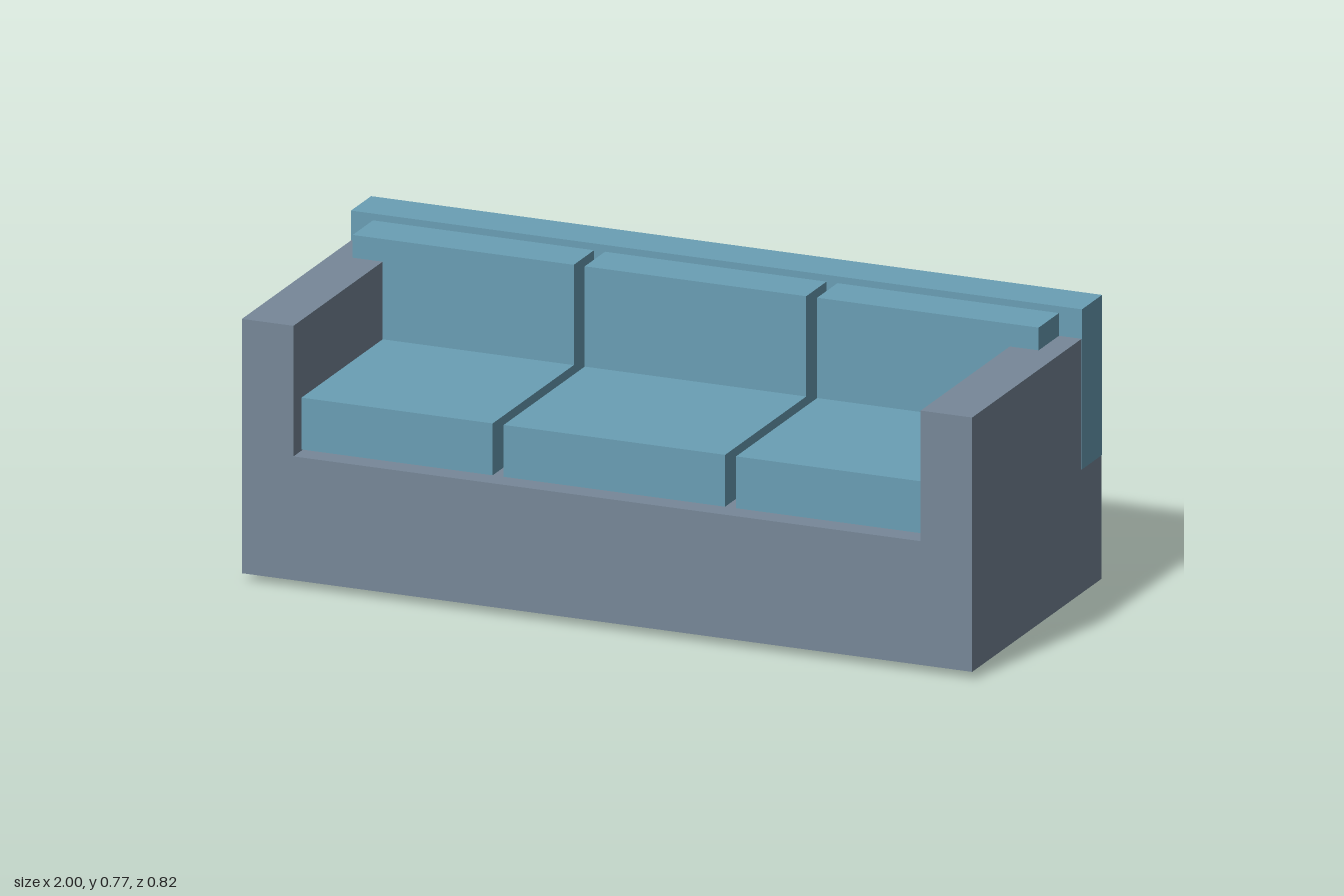
import * as THREE from 'three';

const BODY = new THREE.MeshStandardMaterial({ color: 0x778899 });
const CUSHION = new THREE.MeshStandardMaterial({ color: 0x6a9fb5 });
const LEG = new THREE.MeshStandardMaterial({ color: 0x666670 });

// Box given by its limits on each axis
function box(name, material, [x0, x1], [y0, y1], [z0, z1]) {
  const mesh = new THREE.Mesh(new THREE.BoxGeometry(x1 - x0, y1 - y0, z1 - z0), material);
  mesh.position.set((x0 + x1) / 2, (y0 + y1) / 2, (z0 + z1) / 2);
  mesh.name = name;
  return mesh;
}

export function createModel() {
  const sofa = new THREE.Group();
  sofa.name = 'sofa';

  // Base and both arms: one U-shaped profile, kept just inside the backrest
  const w = 0.999, inner = 0.858, bottom = 0.02, deck = 0.347, armTop = 0.692;
  const profile = new THREE.Shape([
    [-w, bottom], [w, bottom], [w, armTop], [inner, armTop],
    [inner, deck], [-inner, deck], [-inner, armTop], [-w, armTop],
  ].map(([x, y]) => new THREE.Vector2(x, y)));
  const frame = new THREE.Mesh(
    new THREE.ExtrudeGeometry(profile, { depth: 0.817, bevelEnabled: false }), BODY);
  frame.position.z = -0.408;
  frame.name = 'baseAndArms';
  sofa.add(frame);

  // Full-width backrest
  sofa.add(box('backrest', CUSHION, [-1, 1], [0.347, 0.77], [-0.409, -0.282]));

  // Three seat cushions and three back cushions; the outer back ones overlap the arms
  const cells = [[-0.94, -0.335], [-0.305, 0.301], [0.331, 0.937]];
  for (const [x0, x1] of cells) {
    const seatX = [Math.max(x0, -inner), Math.min(x1, inner)];
    sofa.add(box('seatCushion', CUSHION, seatX, [0.35, 0.487], [-0.282, 0.358]));
    sofa.add(box('backCushion', CUSHION, [x0, x1], [0.487, 0.752], [-0.282, -0.154]));
  }

  // Short feet at the corners
  for (const x of [-0.865, 0.863]) {
    for (const z of [-0.318, 0.32]) {
      sofa.add(box('foot', LEG, [x - 0.026, x + 0.026], [0, 0.02], [z - 0.027, z + 0.027]));
    }
  }
  return sofa;
}
